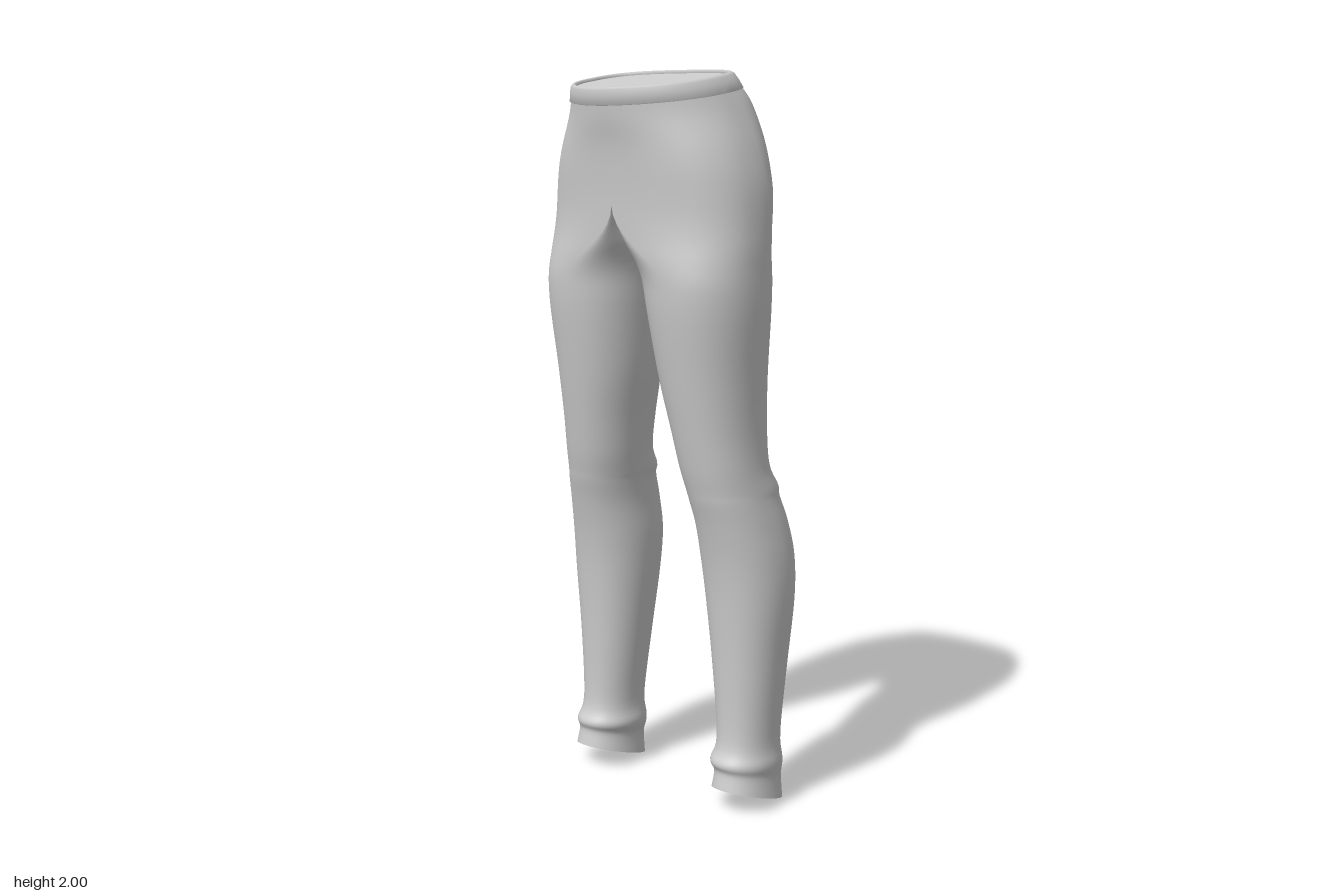
import * as THREE from 'three';

const SEG = 48; // points round one leg
const STEPS = 5; // rings between two listed sections
const { lerp, clamp, smoothstep } = THREE.MathUtils;
const material = new THREE.MeshStandardMaterial({ color: 0xcccccc, side: THREE.DoubleSide });

// Sections, top to bottom: height, inner x, outer x, front z, back z
const SECTIONS = [
  [1.935, -0.06, 0.239, 0.22, -0.135],
  [1.89, -0.06, 0.259, 0.214, -0.168],
  [1.8, -0.06, 0.295, 0.2, -0.197],
  [1.7, -0.06, 0.32, 0.19, -0.203],
  [1.58, -0.04, 0.331, 0.184, -0.184],
  [1.5, 0.004, 0.334, 0.181, -0.173],
  [1.38, 0.027, 0.334, 0.173, -0.164],
  [1.2, 0.055, 0.321, 0.145, -0.156],
  [1.06, 0.084, 0.317, 0.12, -0.151],
  [0.96, 0.101, 0.322, 0.101, -0.153],
  [0.9, 0.11, 0.33, 0.087, -0.184],
  [0.87, 0.116, 0.334, 0.08, -0.185],
  [0.8, 0.122, 0.346, 0.061, -0.208],
  [0.7, 0.123, 0.359, 0.04, -0.225],
  [0.58, 0.133, 0.361, 0.025, -0.22],
  [0.4, 0.155, 0.347, 0.013, -0.2],
  [0.2, 0.177, 0.334, 0.01, -0.181],
  [0.13, 0.168, 0.343, 0.034, -0.188],
  [0.09, 0.18, 0.338, 0.026, -0.184],
  [0.034, 0.176, 0.344, 0.035, -0.187],
];

const spow = (v, e) => (Math.abs(v) < 1e-9 ? 0 : Math.sign(v) * Math.abs(v) ** e);

// Smooth interpolation through the listed sections
function sampleSections() {
  const out = [], last = SECTIONS.length - 1;
  for (let i = 0; i < last; i++) {
    const [a, b, c, d] = [i - 1, i, i + 1, i + 2].map(k => SECTIONS[clamp(k, 0, last)]);
    for (let s = 0; s < STEPS; s++) {
      const t = s / STEPS;
      out.push(b.map((v, k) => v + 0.5 * t * (c[k] - a[k]
        + t * (2 * a[k] - 5 * v + 4 * c[k] - d[k] + t * (3 * (v - c[k]) + d[k] - a[k])))));
    }
  }
  out.push(SECTIONS[last]);
  return out;
}

// Rounded hip outline: wide at the sides, flatter at the back
function hipPoint(angle, y, rx, zf, zb) {
  const w = smoothstep(y, 1.72, 1.95);
  const zc = (zf + zb) / 2 - 0.015;
  const sin = Math.sin(angle);
  const e = 2 / (sin > 0 ? 2.4 - 0.5 * w : 2.5 + 0.6 * w);
  const rz = sin > 0 ? zf - zc : zc - zb;
  return [rx * spow(Math.cos(angle), e), zc + rz * spow(sin, e)];
}

// One ring of a trouser half: half the hips above, a separate leg below
function legRing([y, xin, xout, zf, zb], side) {
  const hipShare = smoothstep(y, 1.44, 1.65);
  const tilt = 0.3 * (1 - smoothstep(y, 0.03, 0.18)) - 0.15 * smoothstep(y, 1.77, 1.935);
  const zc = (zf + zb) / 2;
  const ring = [];
  for (let j = 0; j < SEG; j++) {
    const a = (j / SEG) * Math.PI * 2;
    const [hx, hz] = hipPoint(a, y, xout, zf, zb);
    const lx = (xin + xout) / 2 + (xout - xin) / 2 * spow(Math.cos(a), 0.92);
    const lz = zc + (zf - zb) / 2 * spow(Math.sin(a), 0.92);
    const x = Math.max(0, lerp(lx, Math.max(0, hx), hipShare));
    let z = lerp(lz, hz, hipShare);
    // shallow cleft down the middle of the back
    if (z < zc) z += 0.012 * Math.exp(-((x / 0.04) ** 2)) * smoothstep(1.92 - y, 0, 0.15);
    ring.push(new THREE.Vector3(side * x, y + tilt * (z - zc), z));
  }
  return ring;
}

// Skin closed rings; faces on the middle plane are left out
function loft(rings, name, flip) {
  const n = rings[0].length, index = [];
  const points = rings.flat();
  const onMiddle = i => Math.abs(points[i].x) < 1e-4;
  for (let i = 0; i < rings.length - 1; i++) {
    for (let j = 0; j < n; j++) {
      const a = i * n + j, b = i * n + (j + 1) % n, c = a + n, d = b + n;
      for (const t of [[a, b, c], [b, d, c]]) {
        if (!t.every(onMiddle)) index.push(...(flip ? t.reverse() : t));
      }
    }
  }
  const geometry = new THREE.BufferGeometry().setFromPoints(points);
  geometry.setIndex(index);
  geometry.computeVertexNormals();
  // join the two halves smoothly above the crotch
  const normal = geometry.attributes.normal, v = new THREE.Vector3();
  points.forEach((p, i) => {
    if (!onMiddle(i) || p.y < 1.56) return;
    v.fromBufferAttribute(normal, i).setX(0).normalize();
    normal.setXYZ(i, v.x, v.y, v.z);
  });
  const mesh = new THREE.Mesh(geometry, material);
  mesh.name = name;
  return mesh;
}

// Lid closing a ring
function cap(ring, name, flip) {
  const n = ring.length, index = [];
  const centre = ring.reduce((s, p) => s.add(p), new THREE.Vector3()).divideScalar(n);
  for (let j = 0; j < n; j++) {
    const k = (j + 1) % n;
    index.push(...(flip ? [n, j, k] : [n, k, j]));
  }
  const geometry = new THREE.BufferGeometry().setFromPoints([...ring, centre]);
  geometry.setIndex(index);
  geometry.computeVertexNormals();
  const mesh = new THREE.Mesh(geometry, material);
  mesh.name = name;
  return mesh;
}

// Full ring of the waistband; t = 0 at the rim, 1 at the seam
function bandRing(t, offset) {
  const ring = [], y = 1.979 - 0.045 * t;
  for (let j = 0; j < 72; j++) {
    const [x, z] = hipPoint(j / 72 * Math.PI * 2, y, lerp(0.222, 0.239, t) + offset,
      lerp(0.224, 0.22, t) + offset, lerp(-0.107, -0.135, t) - offset);
    ring.push(new THREE.Vector3(x, y - 0.15 * (z - 0.04), z));
  }
  return ring;
}

export function createModel() {
  const group = new THREE.Group();
  group.name = 'trousers';
  const sections = sampleSections();

  // Two mirrored halves, each half of the hips plus a leg
  for (const [side, label] of [[1, 'left'], [-1, 'right']]) {
    const rings = sections.map(s => legRing(s, side));
    group.add(loft(rings, label + 'Leg', side < 0));
    group.add(cap(rings.at(-1), label + 'HemCap', side > 0));
  }

  // Waistband with a rolled rim and a lid just inside it
  const band = [[1.08, -0.004], [1, 0.004], [0.5, 0.005], [0.15, 0.004], [0.02, 0],
    [0, -0.005], [0.08, -0.01], [0.2, -0.012]].map(([t, o]) => bandRing(t, o));
  group.add(loft(band, 'waistband', true));
  group.add(cap(band.at(-1), 'waistOpening', false));
  return group;
}
